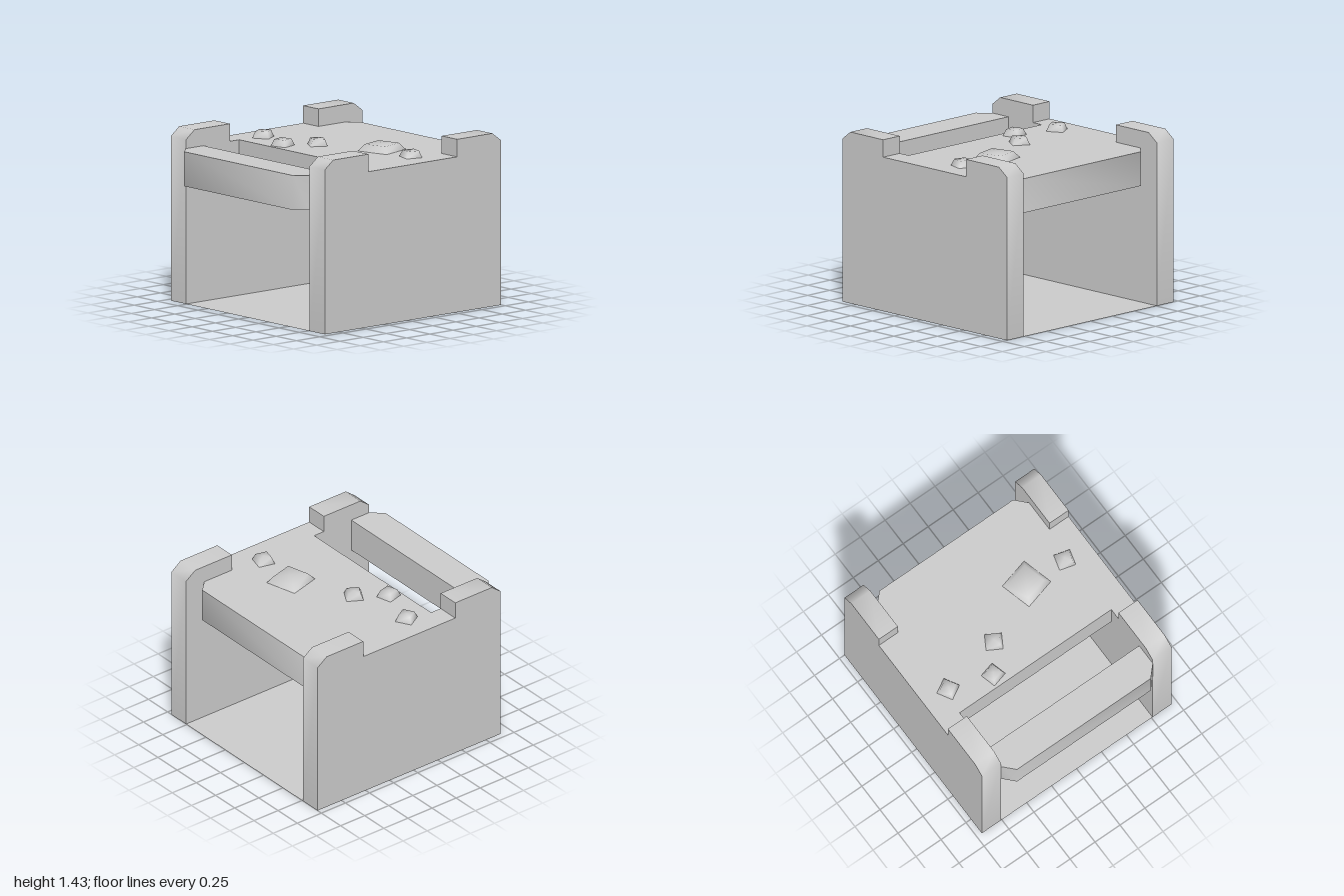
import * as THREE from 'three';
import { mergeVertices, toCreasedNormals } from 'three/addons/utils/BufferGeometryUtils.js';

const material = new THREE.MeshStandardMaterial({ color: 0xcccccc, side: THREE.DoubleSide });
const CREASE = Math.PI / 3;
const DECK_TOP = 1.285;

function shapeFrom(points) {
  return new THREE.Shape(points.map(([x, y]) => new THREE.Vector2(x, y)));
}

function addMesh(parent, name, geometry) {
  const mesh = new THREE.Mesh(geometry, material);
  mesh.name = name;
  parent.add(mesh);
  return mesh;
}

// Removes the triangles lying flat at the lowest height, leaving the part open below.
function openBottom(geometry) {
  const flat = geometry.index ? geometry.toNonIndexed() : geometry;
  flat.computeBoundingBox();
  const limit = flat.boundingBox.min.y + 1e-4;
  const p = flat.attributes.position;
  const kept = [];
  for (let i = 0; i < p.count; i += 3) {
    if (Math.max(p.getY(i), p.getY(i + 1), p.getY(i + 2)) < limit) continue;
    for (let k = i; k < i + 3; k++) kept.push(p.getX(k), p.getY(k), p.getZ(k));
  }
  const result = new THREE.BufferGeometry();
  result.setAttribute('position', new THREE.Float32BufferAttribute(kept, 3));
  return result;
}

// Side wall: profile in (z, y) with raised, chamfered ends, extruded along x.
function wallGeometry(xMin) {
  const profile = [
    [0.9, 0], [0.9, 1.36], [0.81, 1.43], [0.43, 1.43], [0.43, DECK_TOP],
    [-0.525, DECK_TOP], [-0.525, 1.43], [-0.905, 1.43], [-1, 1.36], [-1, 0],
  ];
  const geometry = new THREE.ExtrudeGeometry(
    shapeFrom(profile.map(([z, y]) => [-z, y])), { depth: 0.19, bevelEnabled: false });
  geometry.rotateY(Math.PI / 2).translate(xMin, 0, 0);
  return toCreasedNormals(openBottom(geometry), CREASE);
}

// Horizontal slab: plan in (x, z), with both corners of one end cut off.
function slabGeometry(squareZ, cutZ, endZ) {
  const plan = [
    [-0.76, squareZ], [0.76, squareZ], [0.76, cutZ],
    [0.67, endZ], [-0.67, endZ], [-0.76, cutZ],
  ];
  const geometry = new THREE.ExtrudeGeometry(
    shapeFrom(plan.map(([x, z]) => [x, -z])), { depth: DECK_TOP - 1, bevelEnabled: false });
  geometry.rotateX(-Math.PI / 2).translate(0, 1, 0);
  return toCreasedNormals(geometry, CREASE);
}

// Low square stud with sloping sides and soft shading.
function studGeometry(base, top) {
  const geometry = new THREE.CylinderGeometry(top * Math.SQRT1_2, base * Math.SQRT1_2, 0.055, 4);
  geometry.rotateY(Math.PI / 4).translate(0, 0.0275, 0);
  const smooth = mergeVertices(openBottom(geometry));
  smooth.computeVertexNormals();
  return smooth;
}

export function createModel() {
  const model = new THREE.Group();
  model.name = 'slottedTable';

  addMesh(model, 'leftWall', wallGeometry(0.76));
  addMesh(model, 'rightWall', wallGeometry(-0.95));

  // Deck and front bar, parted by a slot
  addMesh(model, 'deck', slabGeometry(0.33, -0.81, -0.905));
  addMesh(model, 'frontBar', slabGeometry(0.715, 0.905, 1));

  // Thin floor between the walls
  const floor = new THREE.PlaneGeometry(1.52, 1.9);
  floor.rotateX(-Math.PI / 2).translate(0, 0, -0.05);
  addMesh(model, 'floor', floor);

  // Studs on the deck: x, z, turn in degrees, base width, top width
  const studs = [
    [-0.715, 0.11, 30, 0.14, 0.1],
    [-0.345, 0.222, 15, 0.14, 0.1],
    [-0.175, -0.005, -30, 0.14, 0.1],
    [0.705, -0.24, -15, 0.14, 0.1],
    [0.333, -0.253, 15, 0.28, 0.2],
  ];
  const studGroup = new THREE.Group();
  studGroup.name = 'studs';
  for (const [x, z, turn, base, top] of studs) {
    const stud = addMesh(studGroup, 'stud', studGeometry(base, top));
    stud.position.set(x, DECK_TOP, z);
    stud.rotation.y = THREE.MathUtils.degToRad(turn);
  }
  model.add(studGroup);

  return model;
}
